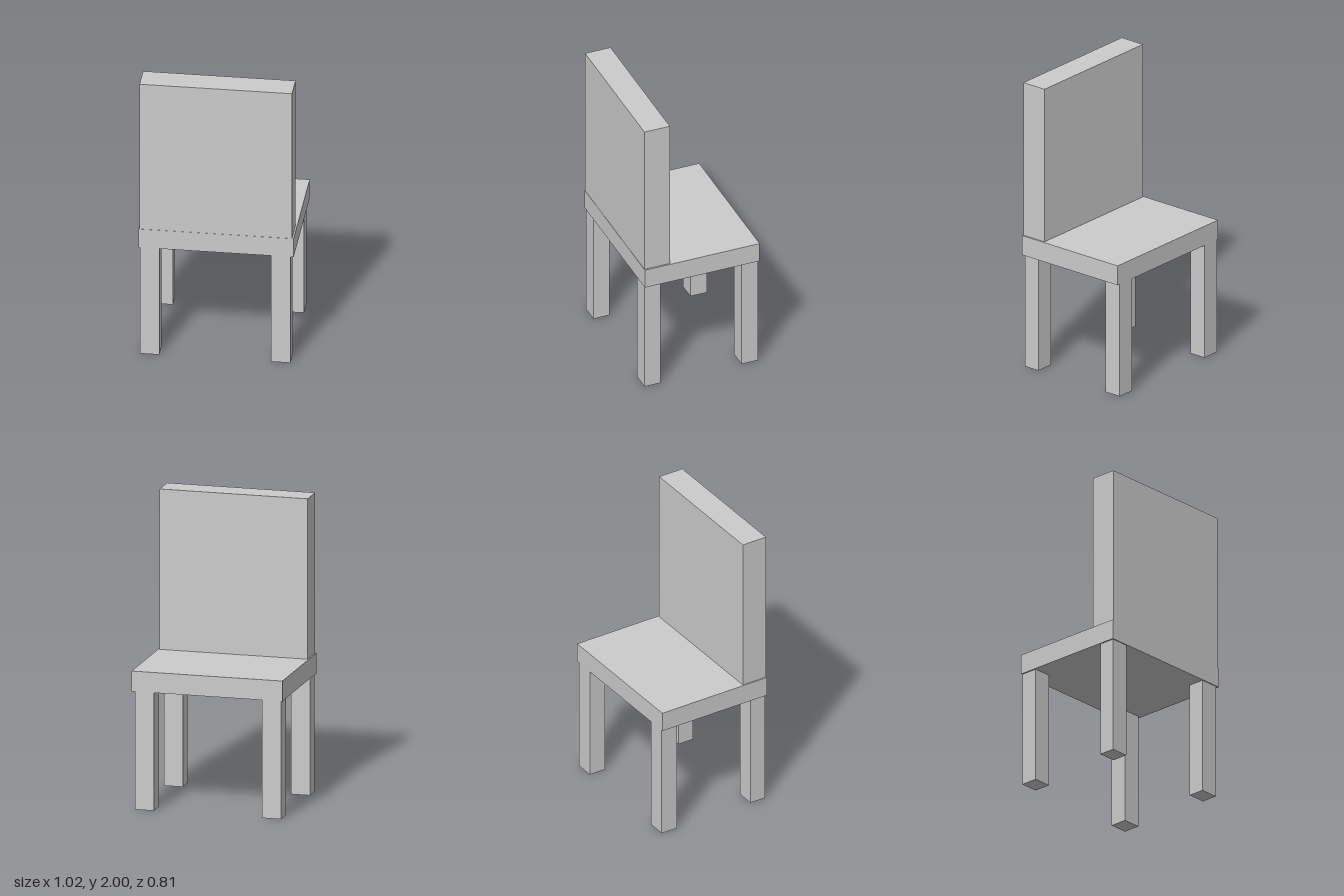
import * as THREE from 'three';

export function createModel() {
  const chair = new THREE.Group();
  chair.name = 'chair';
  const material = new THREE.MeshStandardMaterial({ color: 0xcccccc, flatShading: true });

  // Adds a box given its extents along each axis
  function addBox(name, [x0, x1], [y0, y1], [z0, z1]) {
    const mesh = new THREE.Mesh(new THREE.BoxGeometry(x1 - x0, y1 - y0, z1 - z0), material);
    mesh.position.set((x0 + x1) / 2, (y0 + y1) / 2, (z0 + z1) / 2);
    mesh.name = name;
    chair.add(mesh);
  }

  // Seat slab and the tall backrest standing on its +z edge
  addBox('seat', [-0.51, 0.51], [0.79, 0.926], [-0.405, 0.405]);
  addBox('backrest', [-0.502, 0.499], [0.926, 2], [0.224, 0.403]);

  // Four square legs, slightly offset to the right under the seat
  const sides = { Right: [-0.5, -0.373], Left: [0.36, 0.488] };
  const ends = { front: [0.285, 0.398], back: [-0.404, -0.286] };
  for (const [end, z] of Object.entries(ends)) {
    for (const [side, x] of Object.entries(sides)) {
      addBox(`${end}${side}Leg`, x, [0, 0.79], z);
    }
  }

  return chair;
}
